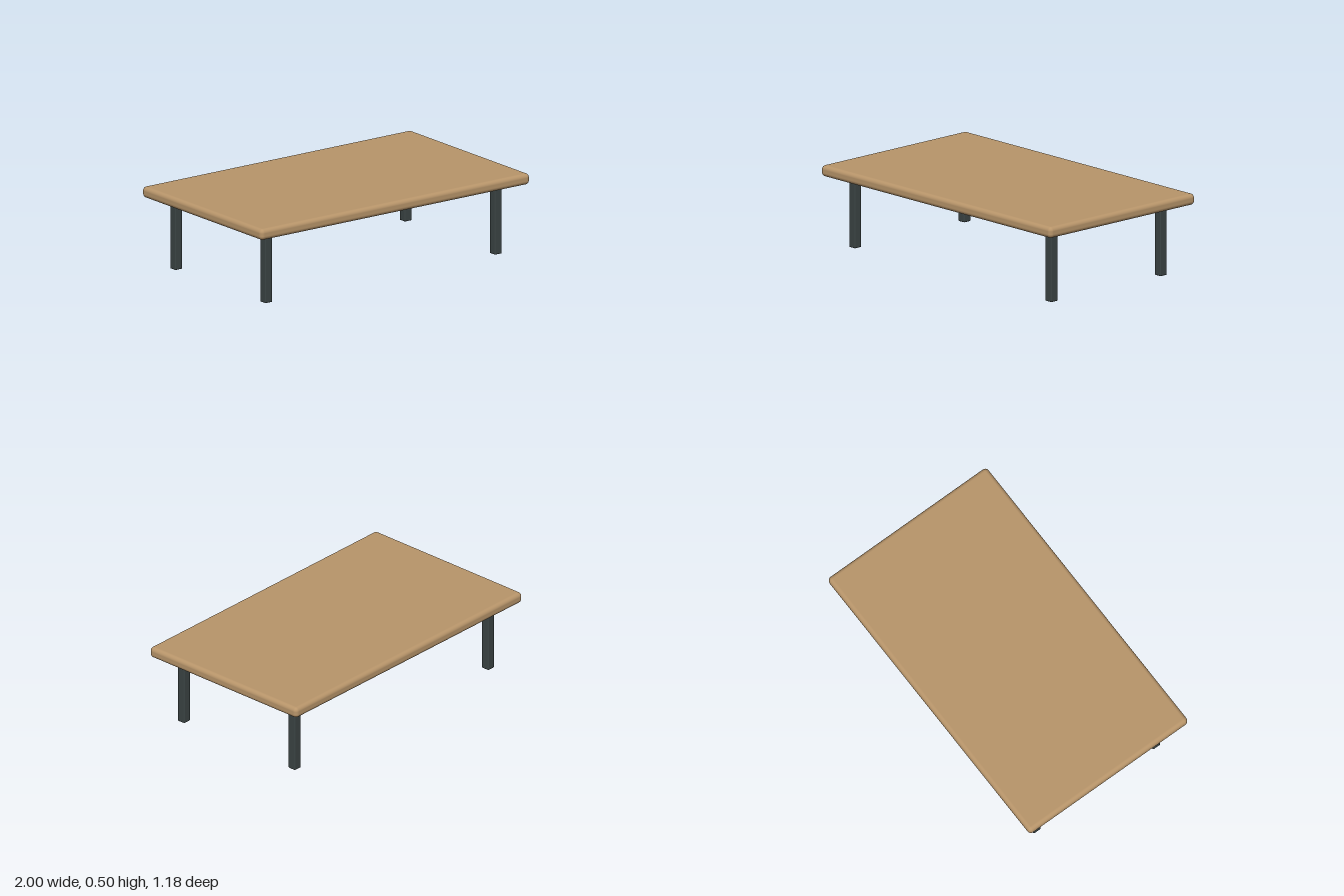
import * as THREE from 'three';
import { RoundedBoxGeometry } from 'three/addons/geometries/RoundedBoxGeometry.js';

export function createModel() {
  const table = new THREE.Group();
  table.name = 'coffeeTable';

  const wood = new THREE.MeshStandardMaterial({ color: 0xb8956a });
  const metal = new THREE.MeshStandardMaterial({ color: 0x3b4444 });

  // Wooden slab with rounded edges
  const height = 0.5, thickness = 0.068;
  const top = new THREE.Mesh(new RoundedBoxGeometry(2, thickness, 1.176, 5, 0.025), wood);
  top.name = 'tableTop';
  top.position.y = height - thickness / 2;
  table.add(top);

  // Four square legs, sunk slightly into the slab
  const legHeight = height - thickness + 0.01;
  const legGeometry = new RoundedBoxGeometry(0.053, legHeight, 0.053, 3, 0.006);
  for (const [x, side] of [[0.853, 'Left'], [-0.853, 'Right']]) {
    for (const [z, end] of [[0.442, 'front'], [-0.442, 'back']]) {
      const leg = new THREE.Mesh(legGeometry, metal);
      leg.name = `${end}${side}Leg`;
      leg.position.set(x, legHeight / 2, z);
      table.add(leg);
    }
  }

  return table;
}
